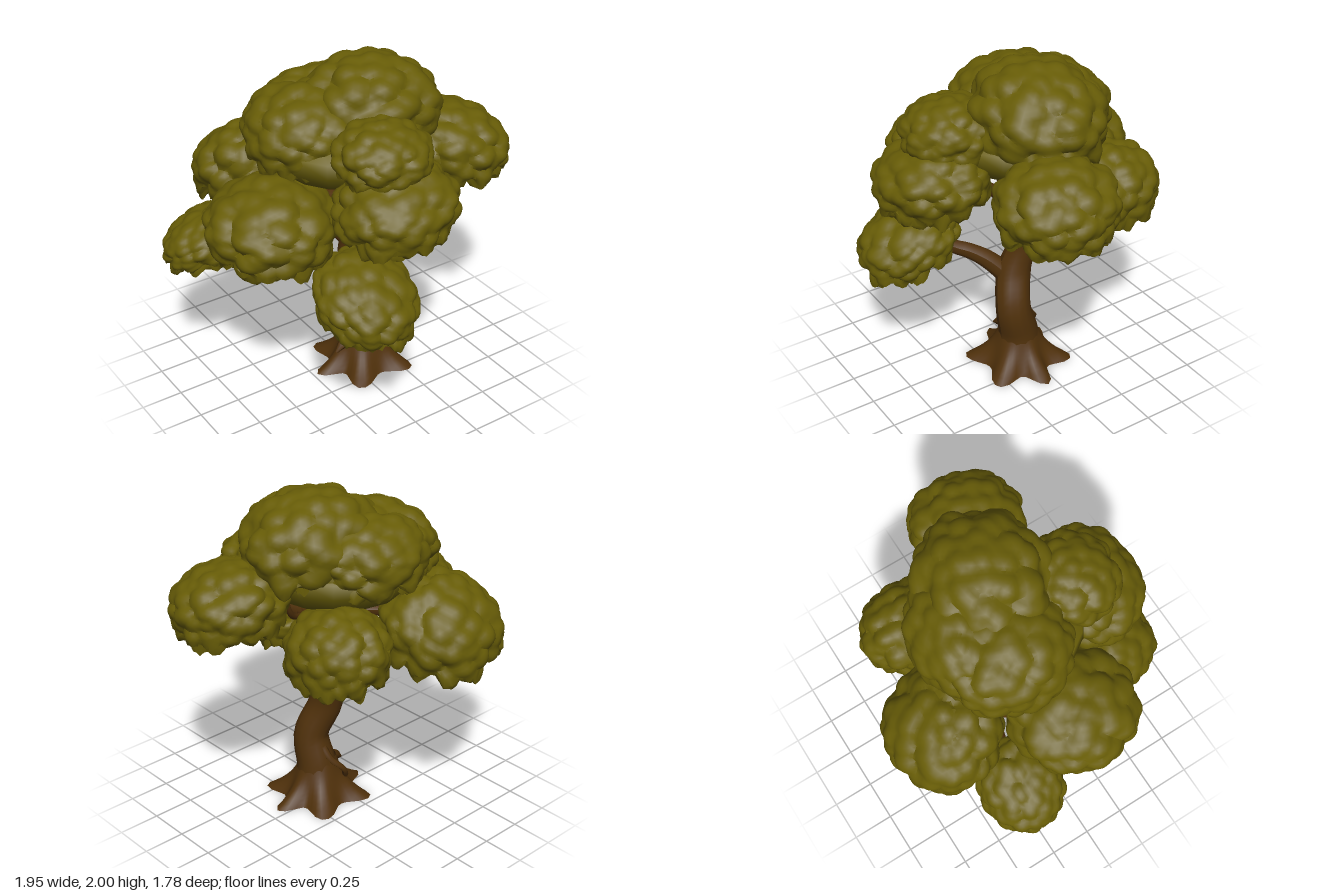
import * as THREE from 'three';
import { mergeVertices, toCreasedNormals } from 'three/addons/utils/BufferGeometryUtils.js';

const leaf = new THREE.MeshStandardMaterial({ color: 0x685d07 });
leaf.name = 'olive leaves';
const bark = new THREE.MeshStandardMaterial({ color: 0x50310b, side: THREE.DoubleSide });
bark.name = 'brown bark';

function seeded(seed) {
  let s = seed * 7919 + 17;
  return () => (s = (s * 16807) % 2147483647) / 2147483647;
}

function add(group, name, geometry, material) {
  const mesh = new THREE.Mesh(geometry, material);
  mesh.name = name;
  group.add(mesh);
}

// Tapered limb: a tube whose rings are rescaled along its path
function limb(points, radii, sides = 9, segs = 20) {
  const curve = new THREE.CatmullRomCurve3(points.map(p => new THREE.Vector3(...p)));
  const geo = new THREE.TubeGeometry(curve, segs, 1, sides, false);
  const pos = geo.attributes.position, v = new THREE.Vector3();
  for (let i = 0; i <= segs; i++) {
    const u = curve.getUtoTmapping(i / segs) * (radii.length - 1);
    const k = Math.min(Math.floor(u), radii.length - 2);
    const r = THREE.MathUtils.lerp(radii[k], radii[k + 1], u - k);
    const c = curve.getPointAt(i / segs);
    for (let j = 0; j <= sides; j++) {
      const n = i * (sides + 1) + j;
      v.fromBufferAttribute(pos, n).sub(c).multiplyScalar(r).add(c);
      pos.setXYZ(n, v.x, v.y, v.z);
    }
  }
  geo.computeVertexNormals();
  return geo;
}

// Leaf clump: dome of leafy bumps with a ragged rim and a smooth, shallow underside
// whose rim rises on the side that faces the trunk
function clump(seed, [cx, cz], [rx, rz], [y0, y1], [leanX, leanZ]) {
  const rnd = seeded(seed), bumps = [];
  const count = 130;
  for (let i = 0; i < count; i++) {
    const y = 1 - 2 * (i + 0.5) / count + (rnd() - 0.5) * 0.12;
    const a = i * 2.39996 + rnd() * 0.6;
    const r = Math.sqrt(Math.max(0, 1 - y * y));
    bumps.push({ d: new THREE.Vector3(r * Math.cos(a), y, r * Math.sin(a)), h: 0.6 + 0.4 * rnd() });
  }
  let geo = new THREE.IcosahedronGeometry(1, 15);
  geo.deleteAttribute('normal');
  geo.deleteAttribute('uv');
  geo = mergeVertices(geo, 1e-4);
  const pos = geo.attributes.position, d = new THREE.Vector3();
  const sy = (y1 - y0) / 1.5, away = Math.hypot(cx, cz);
  for (let i = 0; i < pos.count; i++) {
    d.fromBufferAttribute(pos, i).normalize();
    let bump = 0;
    for (const b of bumps) bump = Math.max(bump, b.h * (1 - d.distanceToSquared(b.d) / 0.075));
    const t = -d.y;
    const inward = Math.max(0, -(d.x * cx + d.z * cz) / away);
    const rim = 0.5 - 0.25 * inward;
    const fade = 1 - THREE.MathUtils.smoothstep(t, rim + 0.05, rim + 0.2);
    const k = 0.86 + 0.15 * bump * fade;
    let y = t < rim ? d.y : -rim + (t - rim) * 0.4;
    if (t > rim - 0.2 && t < rim + 0.1) y += (bump - 0.6) * -0.25 + (rnd() - 0.5) * 0.1;
    // fuller shoulders than a plain ellipsoid
    const full = 1 + 0.05 * Math.sin(Math.PI * Math.max(0, d.y));
    const x = d.x * k * full * rx, z = d.z * k * full * rz;
    pos.setXYZ(i, cx + x, y0 + 0.5 * sy + y * k * sy - leanX * x - leanZ * z, cz + z);
  }
  return toCreasedNormals(geo, 0.75);
}

// Flared base with spreading root lobes
function rootFlare() {
  const geo = new THREE.CylinderGeometry(1, 1, 0.26, 48, 10, true);
  const pos = geo.attributes.position;
  for (let i = 0; i < pos.count; i++) {
    const x = pos.getX(i), z = pos.getZ(i), y = pos.getY(i) + 0.13;
    const a = Math.atan2(z, x), q = 1 - y / 0.26;
    const lobe = Math.pow(0.5 + 0.5 * Math.cos(6 * a + 0.5 * Math.sin(2 * a)), 1.2);
    const r = 0.105 + 0.085 * q + (0.02 + 0.12 * lobe) * Math.pow(q, 3);
    pos.setXYZ(i, 0.105 + Math.cos(a) * r, y, 0.055 + Math.sin(a) * r * 0.97);
  }
  geo.computeVertexNormals();
  return toCreasedNormals(geo, 0.9);
}

export function createModel() {
  const tree = new THREE.Group();
  tree.name = 'tree';

  // Trunk and roots
  add(tree, 'trunk', limb(
    [[0.11, 0.02, 0.06], [0.115, 0.2, 0.06], [0.12, 0.4, 0.1], [0.05, 0.6, 0.05], [0.06, 0.8, 0.0],
      [0.065, 1.0, 0.065], [0.085, 1.16, 0.09], [0.12, 1.32, 0.05], [0.16, 1.6, -0.03]],
    [0.15, 0.12, 0.104, 0.103, 0.08, 0.068, 0.074, 0.045, 0.02], 14, 40), bark);
  add(tree, 'rootFlare', rootFlare(), bark);
  add(tree, 'rootStub', limb([[0.04, 0.22, 0.07], [-0.05, 0.18, 0.08], [-0.11, 0.14, 0.09]],
    [0.05, 0.035, 0.008], 7, 8), bark);
  add(tree, 'rootLoop', limb([[0.12, 0.34, 0.0], [0.1, 0.27, -0.05], [0.04, 0.2, -0.1], [0.0, 0.13, -0.07]],
    [0.025, 0.02, 0.016, 0.02], 7, 12), bark);

  // Branches: path and start / end radius
  const branches = {
    lowFrontBranch: [[[0.05, 0.56, 0.07], [-0.04, 0.68, 0.18], [-0.1, 0.74, 0.27], [-0.14, 0.77, 0.34], [-0.2, 0.84, 0.44], [-0.24, 0.92, 0.56]], 0.065, 0.015],
    lowRightBranch: [[[0.06, 0.82, 0.0], [-0.02, 0.9, -0.14], [-0.22, 0.96, -0.23], [-0.46, 1.0, -0.29], [-0.7, 0.99, -0.34]], 0.05, 0.015],
    backLeftBranch: [[[0.07, 0.82, 0.0], [0.17, 0.9, -0.1], [0.15, 1.0, -0.2], [0.22, 1.025, -0.27], [0.36, 1.07, -0.36], [0.42, 1.2, -0.42]], 0.05, 0.012],
    leftBranch: [[[0.08, 1.08, 0.08], [0.17, 1.2, 0.1], [0.3, 1.29, 0.13], [0.46, 1.33, 0.16], [0.62, 1.4, 0.18]], 0.055, 0.014],
    leftTwig: [[[0.2, 1.23, 0.1], [0.27, 1.26, 0.0], [0.4, 1.33, -0.06], [0.46, 1.5, -0.08]], 0.025, 0.01],
    frontBranch: [[[0.08, 1.08, 0.08], [0.05, 1.2, 0.19], [0.0, 1.26, 0.33], [-0.02, 1.35, 0.5]], 0.05, 0.014],
    rightBranch: [[[0.08, 1.06, 0.07], [-0.02, 1.2, 0.07], [-0.2, 1.25, 0.08], [-0.5, 1.22, 0.1]], 0.055, 0.014],
    backBranch: [[[0.08, 1.1, 0.08], [0.02, 1.24, -0.08], [-0.12, 1.27, -0.28], [-0.24, 1.33, -0.48]], 0.05, 0.014],
    crownBranch: [[[0.08, 1.14, 0.08], [0.0, 1.33, 0.04], [-0.14, 1.45, -0.04], [-0.25, 1.62, -0.1]], 0.045, 0.014],
  };
  for (const [name, [path, r0, r1]] of Object.entries(branches))
    add(tree, name, limb(path, [r0, r0 * 0.75, (r0 + r1) / 2, r1]), bark);

  // Smooth inner canopy joining the clumps under the crown
  const profile = [[0, 1.47], [0.24, 1.38], [0.4, 1.4], [0.48, 1.5], [0.47, 1.58], [0.3, 1.68], [0, 1.7]];
  const inner = new THREE.LatheGeometry(profile.map(p => new THREE.Vector2(...p)), 16);
  inner.translate(0.02, 0, -0.02);
  add(tree, 'innerCanopy', inner, leaf);

  // Foliage: centre x z, radii x z, lowest and highest y, outward lean
  const clumps = {
    crownTop: [[0.2, 0.0], [0.42, 0.39], [1.5, 2.0], [0.08, 0]],
    crownRight: [[-0.21, -0.1], [0.34, 0.38], [1.46, 1.88], [-0.1, 0]],
    crownBack: [[0.0, -0.27], [0.38, 0.29], [1.5, 1.88], [0, -0.13]],
    crownFront: [[-0.03, 0.42], [0.29, 0.28], [1.5, 1.81], [0, 0.06]],
    frontMid: [[-0.02, 0.54], [0.37, 0.33], [1.21, 1.6], [-0.08, 0.06]],
    frontLow: [[-0.24, 0.58], [0.3, 0.31], [0.74, 1.08], [0, 0.28]],
    rightMid: [[-0.55, 0.11], [0.38, 0.39], [1.04, 1.46], [-0.04, 0.04]],
    rightLow: [[-0.71, -0.33], [0.28, 0.25], [0.86, 1.14], [-0.24, -0.1]],
    leftMid: [[0.64, 0.17], [0.34, 0.35], [1.25, 1.65], [0.1, 0.06]],
    backLeft: [[0.35, -0.38], [0.28, 0.33], [1.05, 1.46], [0.1, 0]],
    back: [[-0.27, -0.56], [0.37, 0.34], [1.04, 1.52], [0, -0.24]],
  };
  let seed = 1;
  for (const [name, args] of Object.entries(clumps))
    add(tree, name + 'Leaves', clump(seed++, ...args), leaf);

  return tree;
}
